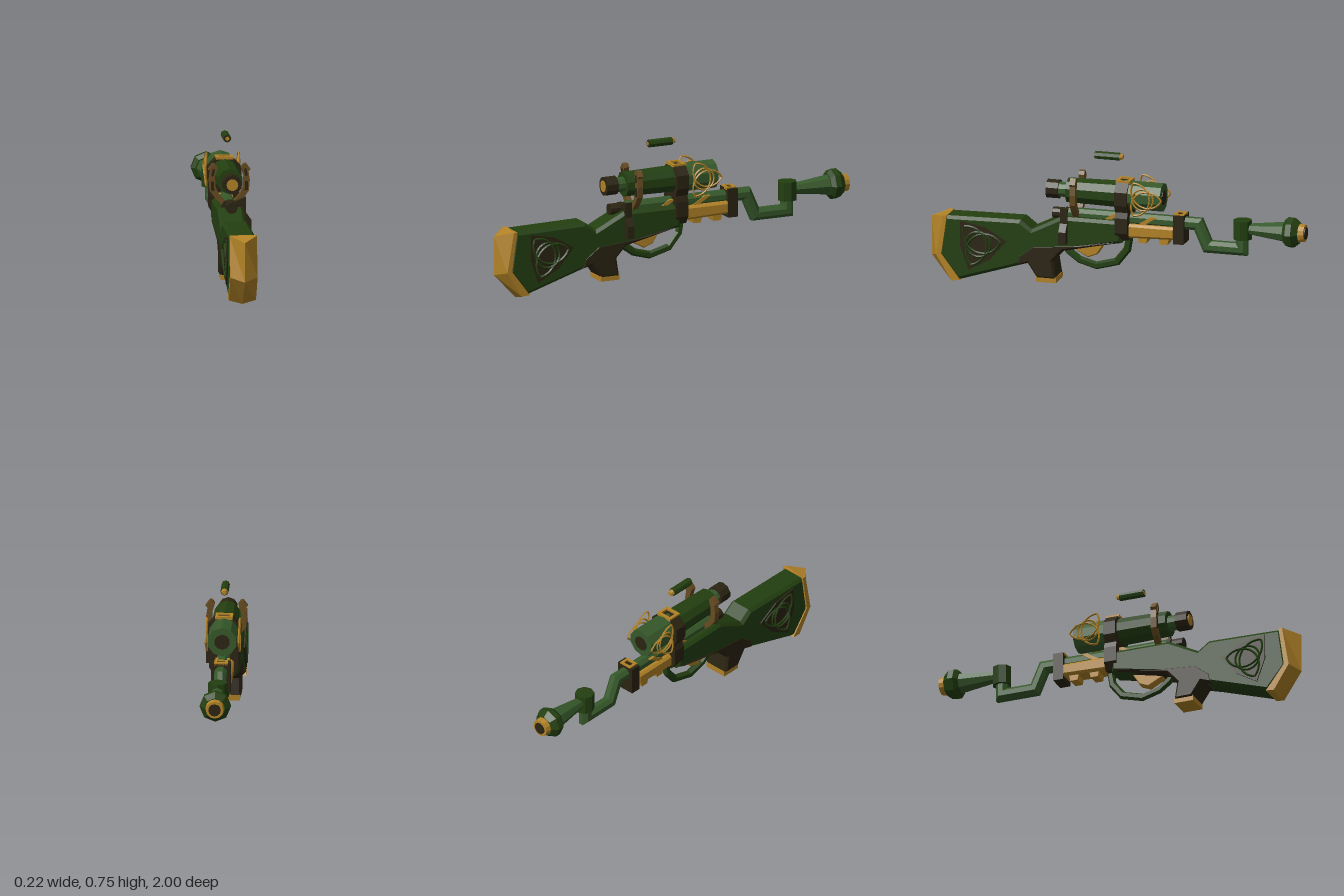
import * as THREE from 'three';

const paint = (name, color) => Object.assign(new THREE.MeshStandardMaterial({ color }), { name });

export function createModel() {
  const root = new THREE.Group();
  root.name = 'rifle';
  const darkGreen = paint('dark green', 0x233f10);
  const lightGreen = paint('light green', 0x36582a);
  const darkBrown = paint('dark brown', 0x2b2412);
  const tan = paint('tan brown', 0x664c22);
  const gold = paint('gold', 0xb28327);

  // Faceted mesh
  function add(name, geometry, material, parent = root) {
    const g = geometry.index ? geometry.toNonIndexed() : geometry;
    g.computeVertexNormals();
    const mesh = new THREE.Mesh(g, material);
    mesh.name = name;
    parent.add(mesh);
    return mesh;
  }
  const outline = (pts) => new THREE.Shape(pts.map(([x, y]) => new THREE.Vector2(x, y)));

  // Slab from a side profile of [z, y] points, centred on x, with chamfered edges
  function slab(name, pts, half, bevel, material, x = 0) {
    const g = new THREE.ExtrudeGeometry(outline(pts.map(([z, y]) => [-z, y])), {
      depth: 2 * (half - bevel), bevelEnabled: bevel > 0, bevelSize: bevel,
      bevelThickness: bevel, bevelOffset: -bevel, bevelSegments: 1,
    });
    g.translate(0, 0, -(half - bevel)).rotateY(Math.PI / 2).translate(x, 0, 0);
    return add(name, g, material);
  }
  // Slab from a front profile of [x, y] points, between two z values
  function crossSlab(name, pts, z0, z1, material) {
    const g = new THREE.ExtrudeGeometry(outline(pts), { depth: z1 - z0, bevelEnabled: false });
    return add(name, g.translate(0, 0, z0), material);
  }
  // Round section along z, from the +z end to the -z end
  function round(name, y, z0, r0, z1, r1, material, sides = 10) {
    const g = new THREE.CylinderGeometry(r0, r1, z0 - z1, sides);
    return add(name, g.rotateX(Math.PI / 2).translate(0, y, (z0 + z1) / 2), material);
  }
  function box(name, w, h, d, x, y, z, material) {
    return add(name, new THREE.BoxGeometry(w, h, d).translate(x, y, z), material);
  }
  // Mitred tube following [z, y] points
  function bentTube(name, pts, r, material, sides = 8) {
    const pos = [], idx = [];
    const p = pts.map(([z, y]) => new THREE.Vector2(z, y));
    p.forEach((pt, i) => {
      const a = p[Math.max(i - 1, 0)], b = p[Math.min(i + 1, p.length - 1)];
      const d0 = (i ? pt.clone().sub(a) : b.clone().sub(pt)).normalize();
      const d1 = (i < p.length - 1 ? b.clone().sub(pt) : d0.clone()).normalize();
      const m = d0.clone().add(d1).normalize();
      const k = r / m.dot(d0);
      for (let j = 0; j < sides; j++) {
        const t = ((j + 0.5) / sides) * Math.PI * 2;
        pos.push(Math.cos(t) * r, pt.y + m.x * k * Math.sin(t), pt.x - m.y * k * Math.sin(t));
        if (i < p.length - 1) {
          const q = i * sides + j, n = i * sides + ((j + 1) % sides);
          idx.push(q, n, n + sides, q, n + sides, q + sides);
        }
      }
    });
    const g = new THREE.BufferGeometry();
    g.setAttribute('position', new THREE.Float32BufferAttribute(pos, 3));
    g.setIndex(idx);
    return add(name, g, material);
  }
  // Three-pointed knot with a ring, lying in a side plane
  function knot(name, x, y, z, radius, wire, turn, material) {
    const group = new THREE.Group();
    group.name = name;
    const r = radius / 1.1547;
    for (let k = 0; k < 3; k++) {
      const a = turn + Math.PI + (k * Math.PI * 2) / 3;
      const arc = new THREE.TorusGeometry(r, wire, 4, 14, Math.PI).rotateZ(a + Math.PI / 2);
      arc.translate(Math.cos(a) * r * 0.577, Math.sin(a) * r * 0.577, 0);
      add('knotArc', arc, material, group);
    }
    add('knotRing', new THREE.TorusGeometry(radius * 0.56, wire, 4, 24), material, group);
    group.rotation.y = Math.PI / 2;
    group.position.set(x, y, z);
    root.add(group);
  }
  // Flat rectangular frame seen from above
  function topFrame(name, w, d, y, z, rim) {
    const rect = (a, b) => [[-a, -b], [a, -b], [a, b], [-a, b]];
    const s = outline(rect(w / 2, d / 2));
    s.holes.push(outline(rect(w / 2 - rim, d / 2 - rim)));
    const g = new THREE.ExtrudeGeometry(s, { depth: 0.014, bevelEnabled: false });
    add(name, g.rotateX(-Math.PI / 2).translate(0, y, z), gold);
  }

  // Stock and receiver
  slab('stock', [[0.91, 0.358], [0.51, 0.365], [0.45, 0.32], [0.29, 0.4], [-0.03, 0.4], [-0.03, 0.285],
    [0.28, 0.225], [0.5, 0.13], [0.84, 0.022], [0.94, 0.15]], 0.068, 0.016, darkGreen);
  slab('grip', [[0.53, 0.122], [0.52, 0.18], [0.44, 0.24], [0.2, 0.262], [0.0, 0.298], [0.0, 0.282],
    [0.28, 0.22], [0.335, 0.16], [0.32, 0.065], [0.42, 0.065], [0.47, 0.14]], 0.07, 0.012, darkBrown);
  slab('gripCap', [[0.424, 0.075], [0.424, 0.045], [0.32, 0.045], [0.318, 0.075]], 0.062, 0, gold);

  // Butt plate: ridged wedge from five-point sections
  {
    const inner = [[0.9, 0.36], [0.93, 0.155], [0.83, 0.022]];
    const side = [[0.92, 0.36], [0.957, 0.15], [0.875, 0.018]];
    const ridge = [[1.0, 0.335], [1.0, 0.13], [0.88, 0]];
    const pos = [], idx = [];
    for (let i = 0; i < 3; i++) {
      [[-0.07, inner], [-0.07, side], [0, ridge], [0.07, side], [0.07, inner]]
        .forEach(([x, row]) => pos.push(x, row[i][1], row[i][0]));
    }
    for (let i = 0; i < 2; i++) {
      for (let j = 0; j < 5; j++) {
        const a = i * 5 + j, b = i * 5 + ((j + 1) % 5);
        idx.push(a, a + 5, b + 5, a, b + 5, b);
      }
    }
    for (let j = 1; j < 4; j++) idx.push(0, j, j + 1, 10, 10 + j + 1, 10 + j);
    const g = new THREE.BufferGeometry();
    g.setAttribute('position', new THREE.Float32BufferAttribute(pos, 3));
    g.setIndex(idx);
    add('buttPlate', g, gold);
  }

  // Stock emblems on both sides
  for (const s of [1, -1]) {
    const pts = [];
    for (let k = 0; k < 6; k++) {
      const a = 0.17 + (k * Math.PI) / 3, r = k % 2 ? 0.098 : 0.15;
      pts.push([0.73 - Math.cos(a) * r, 0.222 + Math.sin(a) * r]);
    }
    slab('emblemPlate', pts, 0.004, 0, darkBrown, s * 0.071);
    knot('stockKnot', s * 0.075, 0.222, 0.73, 0.118, 0.006, 0.17, darkGreen);
  }

  // Bolt and its handle
  round('bolt', 0.405, 0.35, 0.03, 0.2, 0.03, darkBrown);
  crossSlab('boltCollar', [[-0.045, 0.36], [0.045, 0.36], [0.07, 0.39], [0.08, 0.45], [0.03, 0.43],
    [-0.03, 0.43], [-0.05, 0.4]], 0.265, 0.29, darkBrown);
  crossSlab('boltHandle', [[0.065, 0.44], [0.065, 0.265], [0.108, 0.265], [0.108, 0.33], [0.08, 0.37], [0.08, 0.45]],
    0.255, 0.293, darkBrown);

  // Barrel with its dropped bend and muzzle
  bentTube('barrel', [[0.265, 0.405], [-0.425, 0.405], [-0.475, 0.29], [-0.657, 0.29], [-0.657, 0.4]], 0.034, lightGreen);
  add('elbowCap', new THREE.CylinderGeometry(0.05, 0.05, 0.1, 8).translate(0, 0.395, -0.66), darkGreen);
  round('muzzleCone', 0.4, -0.68, 0.027, -0.9, 0.055, lightGreen, 8);
  round('muzzleFlareBack', 0.4, -0.885, 0.06, -0.905, 0.08, darkGreen, 8);
  round('muzzleFlare', 0.4, -0.905, 0.08, -0.935, 0.08, darkGreen, 8);
  round('muzzleFlareFront', 0.4, -0.935, 0.08, -0.965, 0.055, darkGreen, 8);
  round('muzzleRing', 0.4, -0.96, 0.05, -0.995, 0.045, gold, 12);
  round('muzzleBore', 0.4, -0.99, 0.032, -1.0, 0.032, darkBrown, 12);

  // Fore-end with studs and slanted inlays
  slab('foreEnd', [[-0.05, 0.385], [-0.31, 0.385], [-0.31, 0.32], [-0.05, 0.312]], 0.052, 0.012, gold);
  for (const z of [-0.135, -0.248]) {
    slab('foreEndStud', [[z + 0.027, 0.32], [z + 0.02, 0.288], [z - 0.02, 0.288], [z - 0.027, 0.32]], 0.035, 0, gold);
  }
  for (const z of [0.06, -0.14]) {
    slab('barrelInlay', [[z + 0.035, 0.382], [z, 0.382], [z - 0.07, 0.427], [z - 0.035, 0.427]], 0.037, 0, gold);
  }
  box('barrelBand', 0.1, 0.15, 0.055, 0, 0.375, -0.33, darkBrown);
  topFrame('barrelBandFrame', 0.07, 0.055, 0.442, -0.33, 0.014);

  // Trigger and guard
  bentTube('triggerGuard', [[0.29, 0.24], [0.265, 0.205], [0.21, 0.165], [0.12, 0.14], [0.01, 0.17],
    [-0.045, 0.24], [-0.06, 0.33]], 0.02, darkGreen, 6);
  slab('trigger', [[0.26, 0.24], [0.16, 0.185], [0.11, 0.205], [0.07, 0.27]], 0.025, 0.006, gold);

  // Scope
  const sy = 0.53;
  round('eyepiece', sy, 0.38, 0.05, 0.315, 0.05, darkBrown);
  round('eyeLens', sy, 0.384, 0.03, 0.37, 0.03, gold, 16);
  round('scopeNeck', sy, 0.32, 0.04, 0.26, 0.04, lightGreen);
  round('scopeTube', sy, 0.27, 0.066, -0.03, 0.072, darkGreen);
  round('scopeBell', sy, -0.03, 0.076, -0.238, 0.076, lightGreen);
  round('scopeObjective', sy, -0.22, 0.04, -0.241, 0.04, darkBrown);

  // Bracket tying scope to barrel
  crossSlab('scopeBracket', [[-0.05, 0.3], [0.05, 0.3], [0.076, 0.34], [0.076, 0.42], [0.066, 0.45], [0.086, 0.49],
    [0.086, 0.56], [0.045, 0.602], [-0.045, 0.602], [-0.086, 0.56], [-0.086, 0.49], [-0.066, 0.45],
    [-0.076, 0.42], [-0.076, 0.34]], -0.065, 0.002, darkBrown);
  topFrame('bracketFrame', 0.09, 0.075, 0.598, 0.04 - 0.072, 0.016);

  // Clip arms and scope knots, mirrored
  for (const s of [1, -1]) {
    const flip = (pts) => pts.map(([x, y]) => [s * x, y]);
    crossSlab('clipArm', flip([[0.03, 0.39], [0.075, 0.44], [0.1, 0.475], [0.105, 0.53], [0.098, 0.575],
      [0.108, 0.587], [0.085, 0.618], [0.072, 0.614], [0.06, 0.597], [0.074, 0.55], [0.072, 0.5],
      [0.055, 0.46], [0.02, 0.42]]), 0.205, 0.235, tan);
    crossSlab('clipInset', flip([[0.078, 0.475], [0.094, 0.48], [0.096, 0.525], [0.08, 0.525]]), 0.233, 0.238, darkBrown);
    crossSlab('clipInset', flip([[0.082, 0.55], [0.094, 0.555], [0.086, 0.592], [0.074, 0.588]]), 0.233, 0.238, darkBrown);
    knot('scopeKnot', s * 0.084, sy, -0.15, 0.1, 0.005, 0, gold);
  }

  // Floating cartridge
  round('cartridge', 0.728, 0.125, 0.021, -0.005, 0.021, darkGreen, 8);
  round('cartridgeTip', 0.728, -0.005, 0.018, -0.022, 0.012, gold, 8);
  round('cartridgeCap', 0.728, 0.128, 0.018, 0.12, 0.018, darkBrown, 8);
  round('cartridgePrimer', 0.728, 0.13, 0.011, 0.12, 0.011, gold, 8);

  return root;
}
